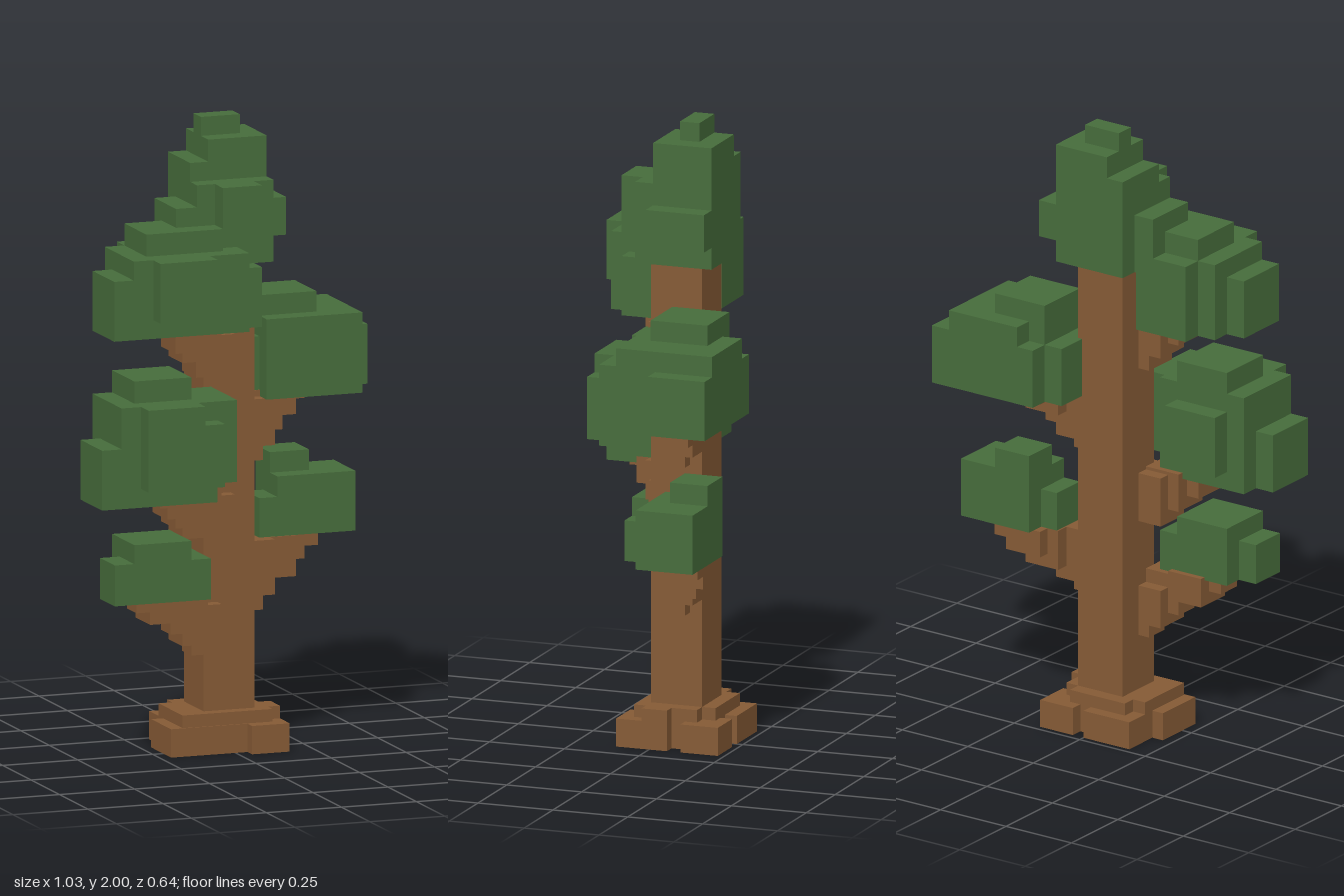
import * as THREE from 'three';

const bark = new THREE.MeshStandardMaterial({ color: 0x855a35 });
bark.name = 'bark brown';
const leaf = new THREE.MeshStandardMaterial({ color: 0x466c3b });
leaf.name = 'leaf green';

// Each block is [x0, x1, y0, y1, z0, z1]
function cluster(name, material, blocks) {
  const group = new THREE.Group();
  group.name = name;
  for (const [x0, x1, y0, y1, z0, z1] of blocks) {
    const mesh = new THREE.Mesh(new THREE.BoxGeometry(x1 - x0, y1 - y0, z1 - z0), material);
    mesh.position.set((x0 + x1) / 2, (y0 + y1) / 2, (z0 + z1) / 2);
    mesh.name = name + 'Block';
    group.add(mesh);
  }
  return group;
}

export function createModel() {
  const tree = new THREE.Group();
  tree.name = 'tree';

  // Trunk and spreading roots
  tree.add(cluster('trunk', bark, [[-0.09, 0.08, 0, 1.6, -0.145, 0.025]]));
  tree.add(cluster('roots', bark, [
    [-0.175, 0.125, 0, 0.13, -0.145, 0.065],
    [-0.13, 0.08, 0, 0.13, -0.19, 0.025],
    [0.08, 0.165, 0.09, 0.13, -0.06, 0.025],
    [-0.215, 0.04, 0, 0.09, -0.105, 0.07],
    [0.04, 0.165, 0, 0.09, -0.06, 0.11],
    [0.04, 0.165, 0, 0.09, -0.23, -0.105],
    [-0.175, 0, 0, 0.09, -0.23, -0.105],
  ]));

  // Stepped branches on the left, running outward and back
  tree.add(cluster('lowerLeftBranch', bark, [
    [0.04, 0.125, 0.43, 0.565, -0.105, 0.02 - 0.04],
    [0.06, 0.165, 0.475, 0.65, -0.145, -0.02],
    [0.125, 0.25, 0.52, 0.65, -0.19, -0.06],
    [0.165, 0.295, 0.565, 0.65, -0.23, -0.105],
    [0.25, 0.34, 0.605, 0.66, -0.23, -0.105],
  ]));
  tree.add(cluster('middleLeftBranch', bark, [
    [0.04, 0.125, 0.905, 1.035, -0.105, -0.02],
    [0.06, 0.165, 0.95, 1.1, -0.145, -0.02],
    [0.08, 0.205, 0.99, 1.12, -0.145, -0.06],
    [0.125, 0.25, 1.035, 1.12, -0.19, -0.06],
    [0.165, 0.295, 1.075, 1.12, -0.23, -0.105],
  ]));

  // Stepped branches on the right, running outward and forward
  tree.add(cluster('lowerRightBranch', bark, [
    [-0.13, -0.06, 0.31, 0.435, -0.06, 0.025],
    [-0.175, -0.045, 0.35, 0.475, -0.06, 0.065],
    [-0.215, -0.09, 0.39, 0.52, -0.02, 0.065],
    [-0.3, -0.175, 0.435, 0.53, -0.02, 0.11],
    [-0.345, -0.215, 0.475, 0.53, 0.025, 0.11],
  ]));
  tree.add(cluster('middleRightBranch', bark, [
    [-0.13, 0, 0.69, 0.82, -0.06, 0.065],
    [-0.175, -0.045, 0.69, 0.85, -0.06, 0.065],
    [-0.215, -0.09, 0.735, 0.86, -0.02, 0.11],
    [-0.26, -0.13, 0.775, 0.86, 0.025, 0.155],
    [-0.3, -0.175, 0.82, 0.86, 0.065, 0.195],
  ]));
  tree.add(cluster('upperRightBranch', bark, [
    [-0.13, 0, 1.2, 1.33, -0.06, 0.065],
    [-0.175, -0.045, 1.25, 1.37, -0.06, 0.065],
    [-0.215, -0.09, 1.29, 1.37, -0.02, 0.11],
  ]));

  // Foliage clusters
  tree.add(cluster('lowerLeftFoliage', leaf, [
    [0.19, 0.45, 0.65, 0.84, -0.255, -0.065],
    [0.13, 0.19, 0.65, 0.775, -0.19, -0.065],
    [0.19, 0.32, 0.84, 0.905, -0.255, -0.13],
  ]));
  tree.add(cluster('middleLeftFoliage', leaf, [
    [0.13, 0.45, 1.1, 1.355, -0.255, 0],
    [0.19, 0.45, 1.1, 1.355, -0.32, -0.255],
    [0.13, 0.19, 1.1, 1.29, -0.32, -0.255],
    [0.385, 0.515, 1.1, 1.29, -0.32, -0.13],
    [0.065, 0.13, 1.1, 1.29, -0.255, -0.065],
    [0.13, 0.32, 1.355, 1.42, -0.255, -0.065],
  ]));
  tree.add(cluster('lowerRightFoliage', leaf, [
    [-0.385, -0.195, 0.52, 0.71, 0, 0.195],
    [-0.45, -0.385, 0.52, 0.65, 0.065, 0.195],
    [-0.195, -0.13, 0.52, 0.65, 0, 0.195],
  ]));
  tree.add(cluster('middleRightFoliage', leaf, [
    [-0.45, -0.13, 0.84, 1.16, 0, 0.255],
    [-0.13, -0.065, 0.9, 1.16, 0.025, 0.255],
    [-0.385, -0.195, 0.9, 1.16, 0.255, 0.32],
    [-0.195, -0.13, 0.9, 1.1, 0.255, 0.32],
    [-0.515, -0.45, 0.84, 1.03, 0.065, 0.255],
    [-0.385, -0.195, 0.9, 1.1, -0.065, 0],
    [-0.385, -0.195, 1.16, 1.23, 0, 0.195],
  ]));
  tree.add(cluster('upperRightFoliage', leaf, [
    [-0.45, -0.385, 1.36, 1.55, 0, 0.19],
    [-0.385, 0, 1.36, 1.61, -0.065, 0.19],
    [-0.32, -0.13, 1.36, 1.61, -0.13, -0.065],
    [-0.32, -0.065, 1.61, 1.68, -0.065, 0.13],
    [-0.32, -0.13, 1.42, 1.61, 0.19, 0.255],
    [0, 0.065, 1.36, 1.55, 0, 0.13],
  ]));
  tree.add(cluster('crownFoliage', leaf, [
    [-0.125, 0.13, 1.55, 1.81, -0.195, 0.06],
    [-0.065, 0.065, 1.62, 1.81, 0.06, 0.13],
    [-0.195, -0.125, 1.55, 1.74, -0.13, 0.06],
    [0.13, 0.195, 1.62, 1.74, -0.195, 0],
    [-0.065, 0.13, 1.81, 1.94, -0.195, 0],
    [-0.125, -0.065, 1.81, 1.87, -0.195, 0],
    [-0.065, 0.065, 1.94, 2, -0.13, -0.065],
  ]));

  return tree;
}
